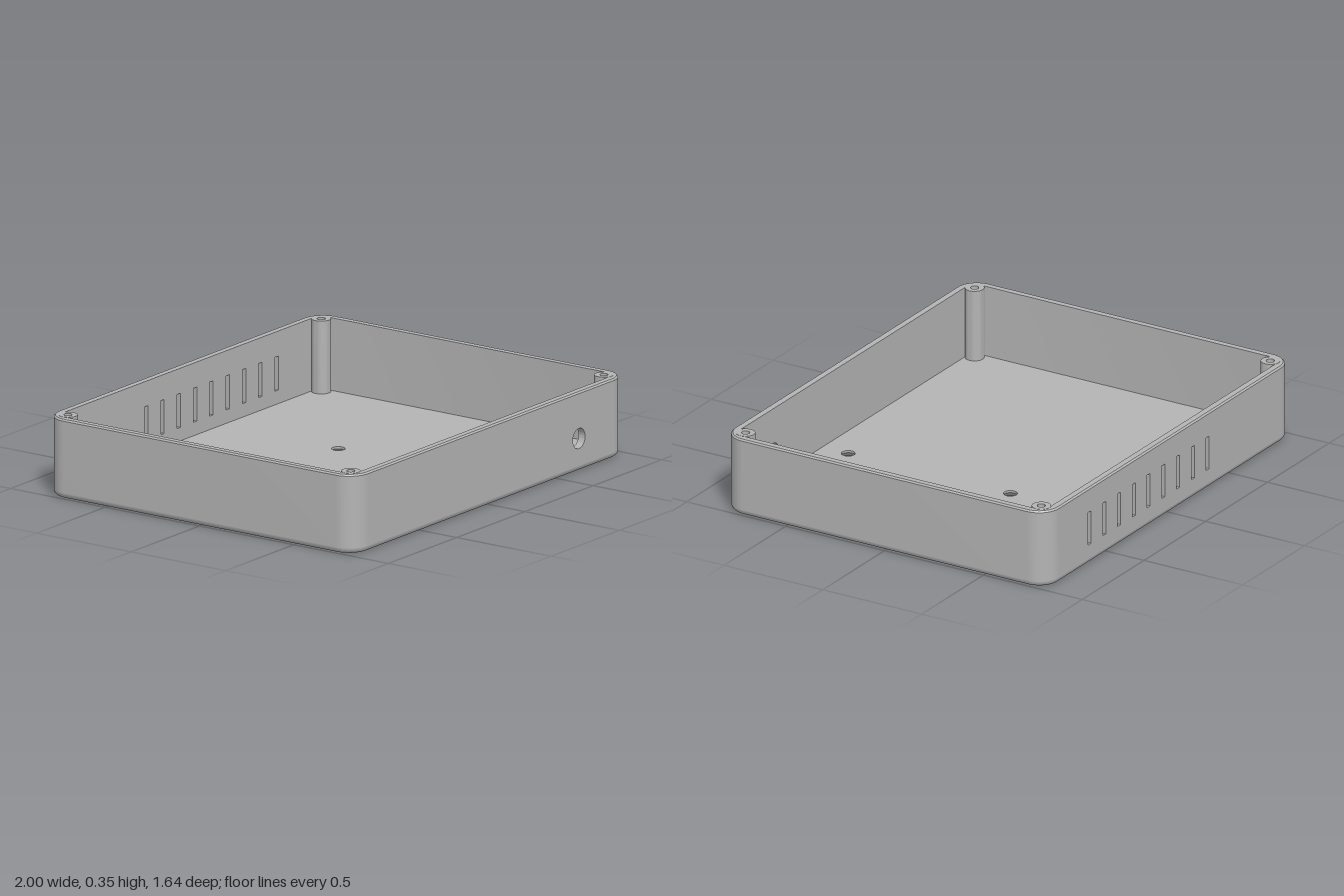
import * as THREE from 'three';
import { toCreasedNormals } from 'three/addons/utils/BufferGeometryUtils.js';

const HX = 1, HZ = 0.82, R = 0.1, WALL = 0.035;   // half sizes, corner radius, wall thickness
const CX = HX - R, CZ = HZ - R;                   // corner arc centres
const FILLET = 0.025, FLOOR = 0.03, WALL_TOP = 0.347, TOP = 0.354;
const SCREWS = [[0.245, -0.165], [0.245, 0.655]]; // floor holes (x, z)

// Rounded rectangle in plan, pulled in by inset
function planShape(inset) {
  const s = new THREE.Shape(), r = R - inset, h = Math.PI / 2;
  s.absarc(CX, CZ, r, 0, h);
  s.absarc(-CX, CZ, r, h, 2 * h);
  s.absarc(-CX, -CZ, r, 2 * h, 3 * h);
  s.absarc(CX, -CZ, r, 3 * h, 4 * h);
  s.closePath();
  return s;
}

// Sweep an [inset, y] profile round the outline
function sweepOutline(profile) {
  const N = 12, pos = [], idx = [], ring = 4 * (N + 1);
  for (const [inset, y] of profile)
    for (let q = 0; q < 4; q++)
      for (let k = 0; k <= N; k++) {
        const a = (q + k / N) * Math.PI / 2;
        const sx = q === 0 || q === 3 ? 1 : -1, sz = q < 2 ? 1 : -1;
        pos.push(sx * CX + (R - inset) * Math.cos(a), y, sz * CZ + (R - inset) * Math.sin(a));
      }
  for (let i = 0; i < profile.length - 1; i++)
    for (let j = 0; j < ring; j++) {
      const a = i * ring + j, b = i * ring + (j + 1) % ring;
      idx.push(a, a + ring, b, b, a + ring, b + ring);
    }
  const g = new THREE.BufferGeometry();
  g.setAttribute('position', new THREE.Float32BufferAttribute(pos, 3));
  g.setIndex(idx);
  return toCreasedNormals(g, 0.5);
}

function circleHole(x, y, r) {
  return new THREE.Path().absarc(x, y, r, 0, Math.PI * 2, true);
}

function rectHole(x, y, w, h) {
  return new THREE.Path([[-1, -1], [-1, 1], [1, 1], [1, -1]].map(
    ([i, j]) => new THREE.Vector2(x + i * w / 2, y + j * h / 2))).closePath();
}

// Straight wall between the corners, with cut-outs
function wallPanel(holes) {
  const s = new THREE.Shape();
  s.moveTo(-CX, FILLET).lineTo(CX, FILLET).lineTo(CX, WALL_TOP).lineTo(-CX, WALL_TOP).closePath();
  s.holes.push(...holes);
  const g = new THREE.ExtrudeGeometry(s, { depth: WALL, bevelEnabled: false, curveSegments: 24 });
  return toCreasedNormals(g, 0.5);
}

// Side wall with both its rounded corners
function sideWallGeometry() {
  const s = new THREE.Shape(), h = Math.PI / 2, r = R - WALL;
  s.moveTo(CX, -HZ);
  s.absarc(CX, -CZ, R, -h, 0, false);
  s.absarc(CX, CZ, R, 0, h, false);
  s.absarc(CX, CZ, r, h, 0, true);
  s.absarc(CX, -CZ, r, 0, -h, true);
  s.closePath();
  const g = new THREE.ExtrudeGeometry(s, { depth: WALL_TOP - FILLET, bevelEnabled: false, curveSegments: 12 });
  g.rotateX(-Math.PI / 2).translate(0, FILLET, 0);
  return toCreasedNormals(g, 0.5);
}

function lathe(points, segments = 32) {
  const g = new THREE.LatheGeometry(points.map(p => new THREE.Vector2(...p)), segments);
  return toCreasedNormals(g, 0.5);
}

export function createModel() {
  const model = new THREE.Group();
  model.name = 'openEnclosure';
  const plastic = new THREE.MeshStandardMaterial({ color: 0xb4b4b4 });
  plastic.name = 'greyPlastic';
  const add = (name, geometry, x = 0, y = 0, z = 0) => {
    const m = new THREE.Mesh(geometry, plastic);
    m.name = name;
    m.position.set(x, y, z);
    model.add(m);
    return m;
  };

  // Floor faces with screw holes, wider on the underside
  const inner = planShape(WALL - 0.002);
  SCREWS.forEach(([x, z]) => inner.holes.push(circleHole(x, -z, 0.03)));
  add('floorTop', new THREE.ShapeGeometry(inner, 24).rotateX(-Math.PI / 2), 0, FLOOR, 0);
  const under = planShape(FILLET);
  SCREWS.forEach(([x, z]) => under.holes.push(circleHole(x, z, 0.047)));
  add('floorUnderside', new THREE.ShapeGeometry(under, 24).rotateX(Math.PI / 2));
  const sink = lathe([[0.03, FLOOR], [0.03, 0.02], [0.047, 0]]);
  SCREWS.forEach(([x, z]) => add('countersunkHole', sink, x, 0, z));

  // Rounded bottom edge and chamfered rim
  const fillet = [];
  for (let i = 0; i <= 6; i++) {
    const a = i / 6 * Math.PI / 2;
    fillet.push([FILLET * (1 - Math.sin(a)), FILLET * (1 - Math.cos(a))]);
  }
  add('bottomEdge', sweepOutline(fillet));
  add('rim', sweepOutline([[0, WALL_TOP], [0.007, TOP], [WALL, TOP], [WALL, WALL_TOP]]));

  // Side walls
  const side = sideWallGeometry();
  add('sideWall', side);
  add('sideWall', side).rotation.y = Math.PI;

  // Front wall with cable hole, back wall with nine vent slots
  add('frontWall', wallPanel([circleHole(0.645, 0.147, 0.045)]), 0, 0, HZ - WALL);
  const slots = [];
  for (let i = 0; i < 9; i++) slots.push(rectHole(0.652 - i * 0.1195, 0.166, 0.025, 0.152));
  add('backWall', wallPanel(slots), 0, 0, -HZ);

  // Corner screw posts with blind holes
  const post = lathe([[0.042, FLOOR - 0.005], [0.042, TOP + 0.001], [0.018, TOP + 0.001], [0.018, 0.15], [0, 0.15]]);
  for (const sx of [-1, 1])
    for (const sz of [-1, 1]) add('screwPost', post, sx * 0.927, 0, sz * 0.748);

  return model;
}
